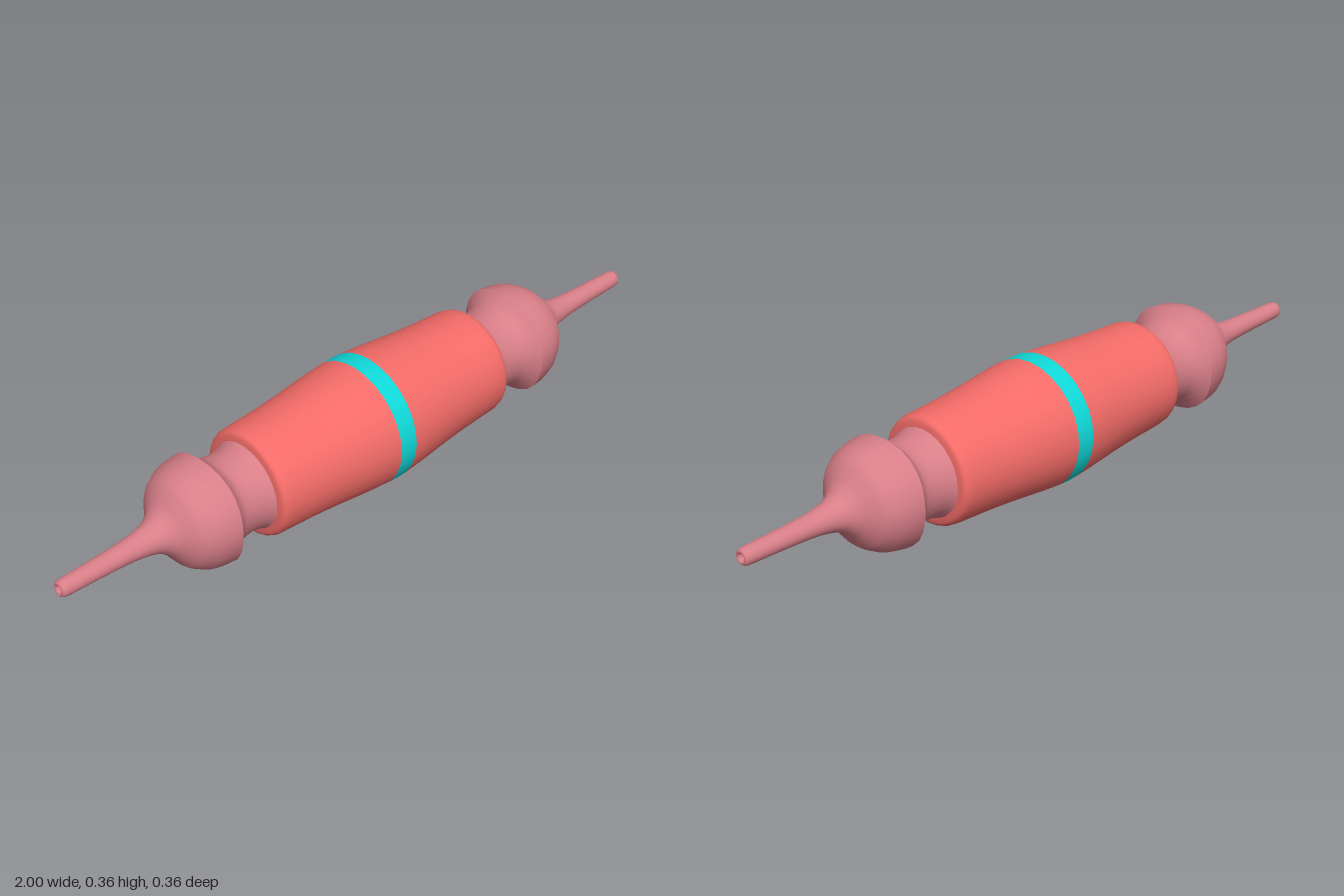
import * as THREE from 'three';

const AXIS_Y = 0.18;

// Smooth ring-by-ring surface along x; square swells the diagonals of the section
function turned(name, profile, color, { steps = 0, square = () => 0 } = {}) {
  let pts = profile.map(([x, r]) => new THREE.Vector2(r, x));
  if (steps) pts = new THREE.SplineCurve(pts).getPoints(steps);
  const geo = new THREE.LatheGeometry(pts, 28);
  const p = geo.attributes.position;
  for (let i = 0; i < p.count; i++) {
    const a = Math.atan2(p.getZ(i), p.getX(i));
    const s = 1 + square(p.getY(i)) * (1 - Math.cos(4 * a)) / 2;
    p.setXYZ(i, p.getX(i) * s, p.getY(i), p.getZ(i) * s);
  }
  geo.rotateZ(-Math.PI / 2);
  const mesh = new THREE.Mesh(geo, new THREE.MeshStandardMaterial({ color, side: THREE.DoubleSide }));
  mesh.name = name;
  return mesh;
}

export function createModel() {
  const model = new THREE.Group();
  model.name = 'rollingPin';
  const coral = 0xf46c68, pink = 0xd97f88, teal = 0x10d8d8;

  // Central band
  model.add(turned('centreBand', [[-0.027, 0.179], [0, 0.18], [0.027, 0.179]], teal));

  // One half, repeated at the other end by a half turn
  for (const side of [1, -1]) {
    const half = new THREE.Group();
    half.name = side > 0 ? 'leftHalf' : 'rightHalf';

    // Barrel with a rounded shoulder
    half.add(turned('barrel', [
      [0.027, 0.179], [0.08, 0.175], [0.14, 0.169], [0.2, 0.163], [0.28, 0.157],
      [0.36, 0.153], [0.39, 0.15], [0.402, 0.143], [0.406, 0.132], [0.408, 0.118],
    ], coral, { steps: 36 }));

    // Waisted neck
    half.add(turned('neck', [
      [0.395, 0.132], [0.41, 0.121], [0.435, 0.113], [0.47, 0.11],
      [0.5, 0.114], [0.52, 0.126], [0.54, 0.146],
    ], pink, { steps: 20, square: (x) => 0.05 * THREE.MathUtils.smoothstep(x, 0.42, 0.54) }));

    // Bulb flowing into the thin handle
    half.add(turned('handle', [
      [0.54, 0.146], [0.57, 0.143], [0.605, 0.135], [0.64, 0.117], [0.66, 0.094],
      [0.68, 0.068], [0.71, 0.046], [0.76, 0.034], [0.82, 0.029], [0.9, 0.026],
      [0.975, 0.024], [0.993, 0.022],
    ], pink, { steps: 48, square: (x) => 0.05 * (1 - THREE.MathUtils.smoothstep(x, 0.6, 0.72)) }));

    // Rounded tip with a small dimple
    half.add(turned('tip', [
      [0.993, 0.022], [0.998, 0.019], [1, 0.015], [0.998, 0.012], [0.988, 0.008], [0.984, 0],
    ], pink));

    if (side < 0) half.rotation.y = Math.PI;
    model.add(half);
  }

  model.children.forEach((c) => { c.position.y = AXIS_Y; });
  return model;
}
